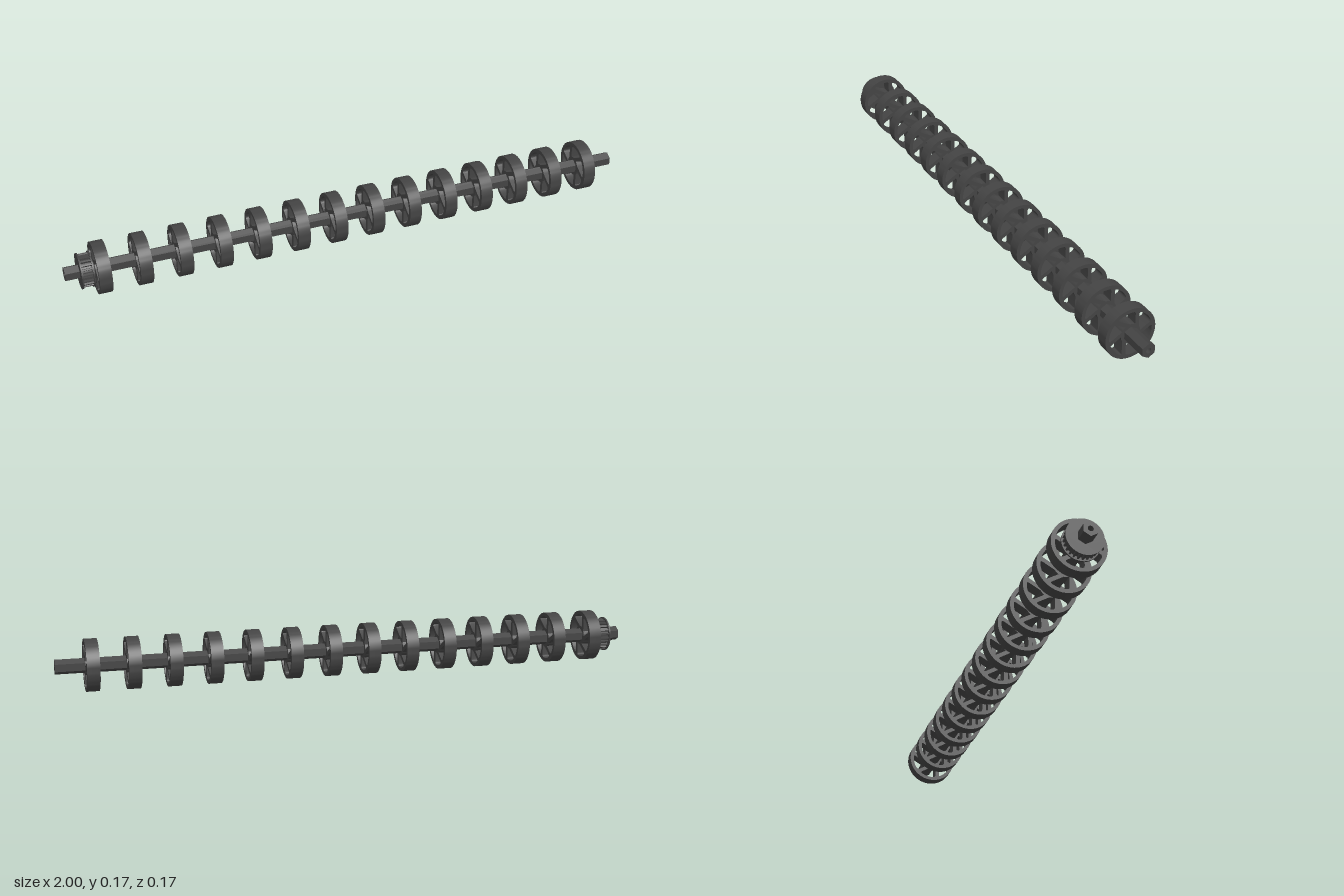
import * as THREE from 'three';
import { toCreasedNormals } from 'three/addons/utils/BufferGeometryUtils.js';

const AXIS_Y = 0.0875;
const material = new THREE.MeshStandardMaterial({ color: 0x444444 });

// Extrude a profile along x, centred on its own middle.
function extrudeX(shape, width, curveSegments) {
  const g = new THREE.ExtrudeGeometry(shape, { depth: width, bevelEnabled: false, curveSegments });
  g.translate(0, 0, -width / 2);
  g.rotateY(Math.PI / 2);
  return toCreasedNormals(g, 0.45);
}

function part(name, geometry, x) {
  const mesh = new THREE.Mesh(geometry, material);
  mesh.name = name;
  mesh.position.set(x, AXIS_Y, 0);
  return mesh;
}

const circle = (r) => new THREE.Path().absarc(0, 0, r, 0, Math.PI * 2, true);

function hexPoints(r) {
  return Array.from({ length: 6 }, (_, i) => {
    const a = Math.PI / 2 + (i * Math.PI) / 3;
    return new THREE.Vector2(r * Math.cos(a), r * Math.sin(a));
  });
}

// Opening between two offset spokes, with rounded outer corners.
function spokeOpening(turn) {
  const near = 0.0145, far = 0.028, hub = 0.034, rim = 0.075, fillet = 0.007;
  const onEdge = (offset, r, rot) =>
    new THREE.Vector2(offset, Math.sqrt(r * r - offset * offset)).rotateAround(new THREE.Vector2(), rot);
  const step = Math.PI / 3;
  const cornerA = onEdge(near, rim, 0), cornerB = onEdge(far, rim, step);
  const a0 = cornerA.angle(), a1 = cornerB.angle(), da = fillet / rim;
  const pts = [onEdge(near, hub, 0), onEdge(near, rim - fillet, 0)];
  const bend = (p, c, q) => {
    for (const p2 of new THREE.QuadraticBezierCurve(p, c, q).getPoints(4)) pts.push(p2);
  };
  const polar = (r, a) => new THREE.Vector2(r * Math.cos(a), r * Math.sin(a));
  bend(pts.pop(), cornerA, polar(rim, a0 + da));
  for (let i = 1; i < 8; i++) pts.push(polar(rim, a0 + da + ((a1 - a0 - 2 * da) * i) / 8));
  bend(polar(rim, a1 - da), cornerB, onEdge(far, rim - fillet, step));
  const h0 = onEdge(near, hub, 0).angle(), h1 = onEdge(far, hub, step).angle();
  for (let i = 0; i < 4; i++) pts.push(polar(hub, h1 + ((h0 - h1) * i) / 4));
  return new THREE.Path(pts.map((p) => p.rotateAround(new THREE.Vector2(), turn)));
}

function wheelGeometry() {
  const shape = new THREE.Shape().absarc(0, 0, 0.0875, 0, Math.PI * 2, false);
  shape.holes.push(new THREE.Path(hexPoints(0.025)));
  for (let i = 0; i < 6; i++) shape.holes.push(spokeOpening((i * Math.PI) / 3));
  return extrudeX(shape, 0.043, 32);
}

function toothedGeometry(teeth, root, tip, width) {
  const pts = [];
  for (let i = 0; i < teeth; i++) {
    [[0, root], [0.45, root], [0.55, tip], [0.9, tip]].forEach(([f, r]) => {
      const a = ((i + f) / teeth) * Math.PI * 2;
      pts.push(new THREE.Vector2(r * Math.cos(a), r * Math.sin(a)));
    });
  }
  const shape = new THREE.Shape(pts);
  shape.holes.push(new THREE.Path(hexPoints(0.025)));
  return extrudeX(shape, width, 1);
}

export function createModel() {
  const model = new THREE.Group();
  model.name = 'rollerShaft';

  // Hollow hexagonal shaft
  const hex = new THREE.Shape(hexPoints(0.025));
  hex.holes.push(circle(0.009));
  model.add(part('shaft', extrudeX(hex, 2, 12), 0));

  // Evenly spaced wheels
  const wheel = wheelGeometry();
  for (let i = 0; i < 14; i++) model.add(part('wheel', wheel, -0.881 + (i * 1.762) / 13));

  // Drive pulley: toothed barrel between two flanges
  const pulley = new THREE.Group();
  pulley.name = 'drivePulley';
  pulley.add(part('pulleyTeeth', toothedGeometry(24, 0.049, 0.056, 0.04), -0.931));
  const flangeShape = new THREE.Shape().absarc(0, 0, 0.06, 0, Math.PI * 2, false);
  flangeShape.holes.push(new THREE.Path(hexPoints(0.025)));
  const flange = extrudeX(flangeShape, 0.005, 24);
  for (const s of [-1, 1]) pulley.add(part('pulleyFlange', flange, -0.931 + s * 0.019));
  model.add(pulley);

  return model;
}
